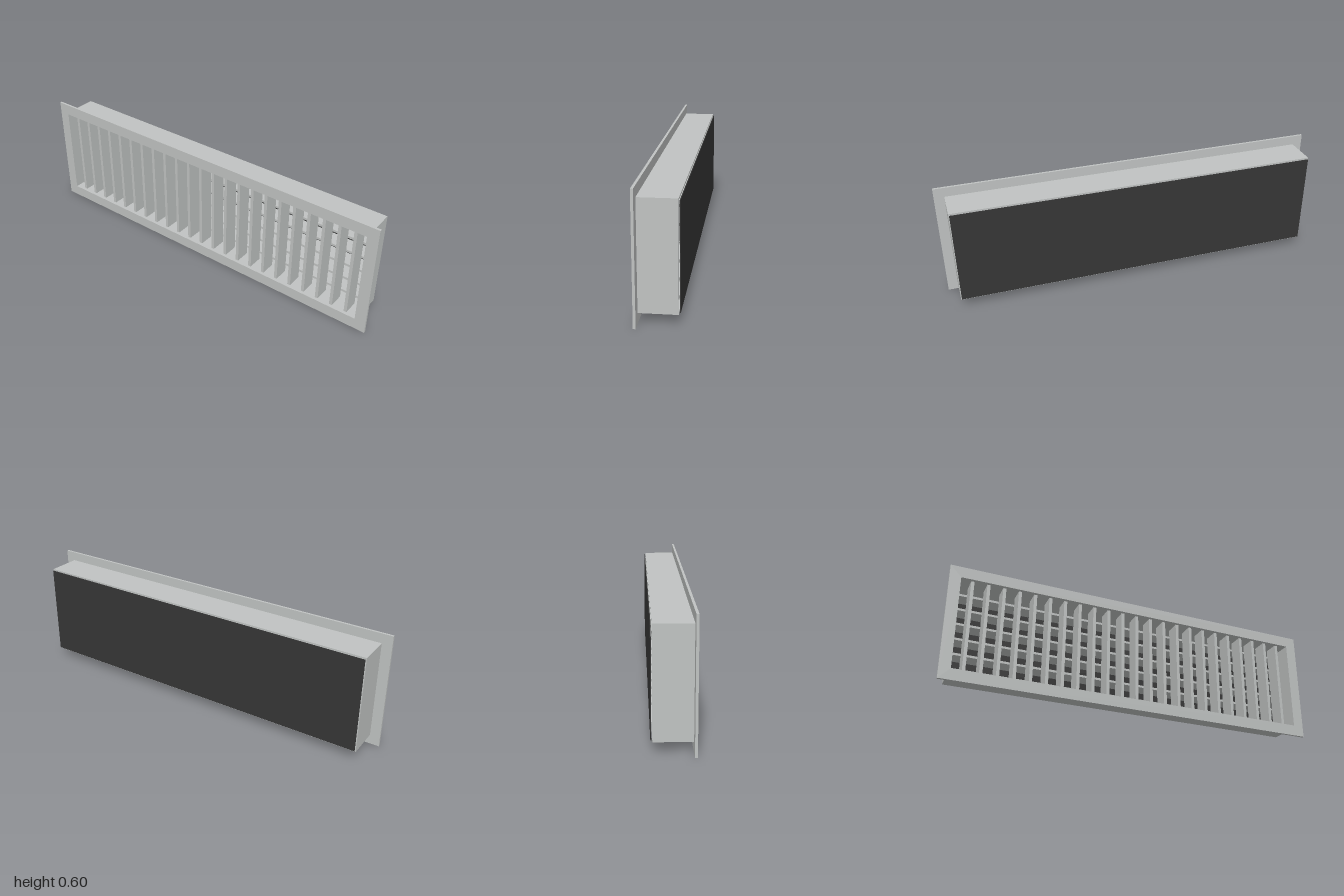
import * as THREE from 'three';

const MID_Y = 0.301;

// Rectangular ring, extruded along z from zBack to zFront
function frame(outerW, outerH, innerW, innerH, zBack, zFront, material, name) {
  const rect = (Type, w, h) => new Type([
    new THREE.Vector2(-w / 2, -h / 2), new THREE.Vector2(w / 2, -h / 2),
    new THREE.Vector2(w / 2, h / 2), new THREE.Vector2(-w / 2, h / 2),
  ]);
  const shape = rect(THREE.Shape, outerW, outerH);
  shape.holes.push(rect(THREE.Path, innerW, innerH));
  const geometry = new THREE.ExtrudeGeometry(shape, { depth: zFront - zBack, bevelEnabled: false });
  const mesh = new THREE.Mesh(geometry, material);
  mesh.position.set(0, MID_Y, zBack);
  mesh.name = name;
  return mesh;
}

function box(w, h, zBack, zFront, x, y, material, name) {
  const mesh = new THREE.Mesh(new THREE.BoxGeometry(w, h, zFront - zBack), material);
  mesh.position.set(x, y, (zFront + zBack) / 2);
  mesh.name = name;
  return mesh;
}

export function createModel() {
  const metal = new THREE.MeshStandardMaterial({ color: 0xc0c3c2 });
  metal.name = 'grey metal';
  const dark = new THREE.MeshStandardMaterial({ color: 0x363636 });
  dark.name = 'dark backing';

  const model = new THREE.Group();
  model.name = 'ventGrille';
  const innerW = 1.886, innerH = 0.486;

  // Wall flange and the duct collar behind it
  model.add(frame(2, 0.602, innerW, innerH, 0.085, 0.097, metal, 'flange'));
  model.add(frame(1.898, 0.504, innerW, innerH, -0.088, 0.085, metal, 'collar'));

  // Upright blades in front
  const uprights = new THREE.Group();
  uprights.name = 'verticalBlades';
  for (let i = -11; i <= 11; i++) {
    uprights.add(box(0.016, innerH, 0, 0.08, i * 0.0802, MID_Y, metal, 'verticalBlade'));
  }
  model.add(uprights);

  // Level blades behind them
  const levels = new THREE.Group();
  levels.name = 'horizontalBlades';
  for (let i = 0; i < 6; i++) {
    levels.add(box(innerW, 0.012, -0.083, -0.004, 0, MID_Y + (i - 2.5) * 0.081, metal, 'horizontalBlade'));
  }
  model.add(levels);

  // Dark plate closing the back, set off by a thin gap
  model.add(box(1.89, 0.49, -0.096, -0.092, 0, MID_Y, dark, 'backPlate'));
  return model;
}
